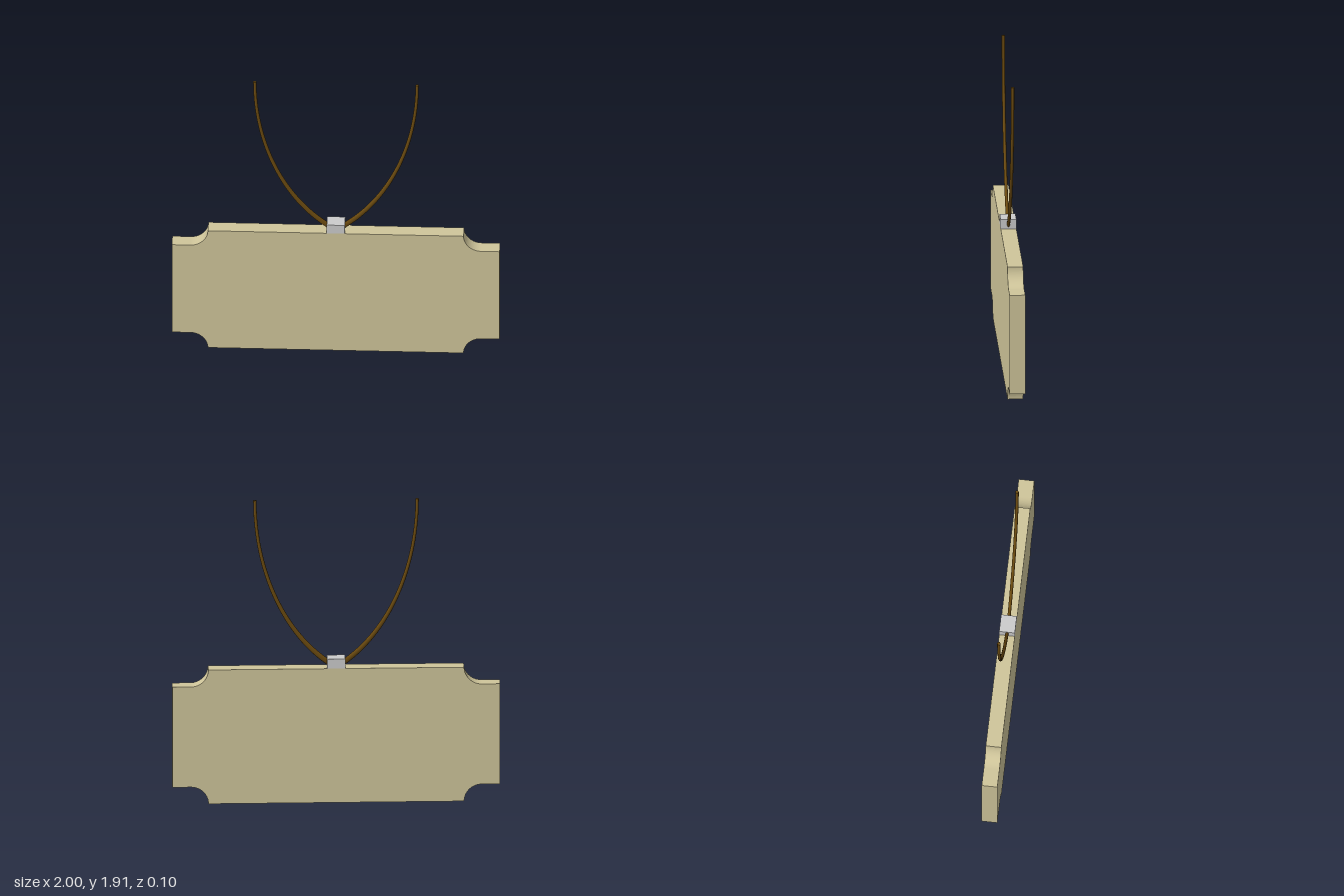
import * as THREE from 'three';

const BOARD = new THREE.MeshStandardMaterial({ color: 0xcfc59a });
const CORD = new THREE.MeshStandardMaterial({ color: 0x6b4a0f });
const GREY = new THREE.MeshStandardMaterial({ color: 0xcccccc });
const DEPTH = 0.096, HEIGHT = 0.85;

// Plaque outline with a scooped notch in each corner
function makeBoard() {
  const r = 0.107, inX = 0.78, cx = inX + r;
  const s = new THREE.Shape();
  s.moveTo(-inX, 0);
  s.lineTo(inX, 0);
  s.absarc(cx, 0, r, Math.PI, Math.PI / 2, true);
  s.lineTo(1, r);
  s.lineTo(1, HEIGHT - r);
  s.lineTo(cx, HEIGHT - r);
  s.absarc(cx, HEIGHT, r, -Math.PI / 2, -Math.PI, true);
  s.lineTo(-inX, HEIGHT);
  s.absarc(-cx, HEIGHT, r, 0, -Math.PI / 2, true);
  s.lineTo(-1, HEIGHT - r);
  s.lineTo(-1, r);
  s.lineTo(-cx, r);
  s.absarc(-cx, 0, r, Math.PI / 2, 0, true);
  const geo = new THREE.ExtrudeGeometry(s, { depth: DEPTH, bevelEnabled: false, curveSegments: 16 });
  geo.translate(0, 0, -DEPTH / 2);
  const board = new THREE.Mesh(geo, BOARD);
  board.name = 'board';
  return board;
}

// One cord: an elliptical arc rising from the clasp, stretched in y so it thickens low down
function makeCord(name) {
  const topY = 1.91, tipX = 0.495, centreX = -0.3, rx = tipX - centreX, ry = 1.147;
  const stretch = 2, radius = 0.01;
  const end = Math.acos((0.03 - centreX) / rx);
  const pts = [];
  for (let i = 0; i <= 24; i++) {
    const a = end * i / 24;
    pts.push(new THREE.Vector3(centreX + rx * Math.cos(a), -ry * Math.sin(a) / stretch, 0));
  }
  const tube = new THREE.TubeGeometry(new THREE.CatmullRomCurve3(pts), 48, radius, 12);
  tube.scale(1, stretch, 1);
  tube.translate(0, topY, 0);
  const cap = new THREE.CircleGeometry(radius, 12);
  cap.rotateX(-Math.PI / 2);
  cap.translate(tipX, topY, 0);
  const cord = new THREE.Group();
  cord.name = name;
  const strand = new THREE.Mesh(tube, CORD);
  strand.name = 'cordStrand';
  const tip = new THREE.Mesh(cap, CORD);
  tip.name = 'cordTip';
  cord.add(strand, tip);
  return cord;
}

export function createModel() {
  const model = new THREE.Group();
  model.name = 'hangingPlaque';
  model.add(makeBoard());

  // Clasp block on the top edge
  const clasp = new THREE.Mesh(new THREE.BoxGeometry(0.11, 0.06, DEPTH), GREY);
  clasp.name = 'clasp';
  clasp.position.y = HEIGHT + 0.03;
  model.add(clasp);

  const right = makeCord('rightCord');
  right.rotation.y = Math.PI;
  model.add(makeCord('leftCord'), right);
  return model;
}
